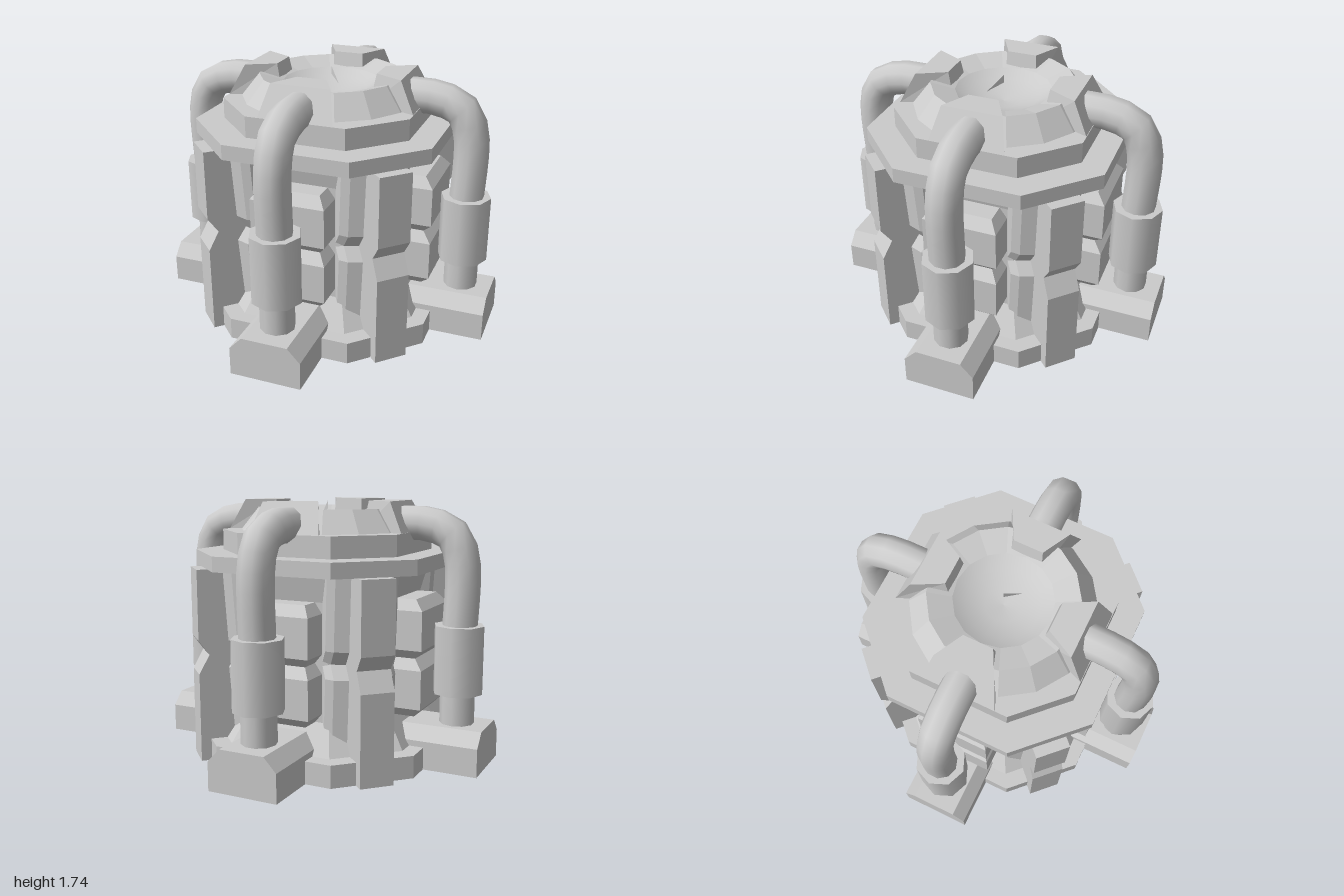
import * as THREE from 'three';

const flat = new THREE.MeshStandardMaterial({ color: 0xcccccc, flatShading: true });
const smooth = new THREE.MeshStandardMaterial({ color: 0xcccccc });
const thin = new THREE.MeshStandardMaterial({ color: 0xcccccc, side: THREE.DoubleSide });

// Skin a stack of equal-length convex loops and cap both ends, facing outward
function loft(loops) {
  const tris = [];
  const n = loops[0].length;
  for (let s = 0; s < loops.length - 1; s++) {
    for (let i = 0; i < n; i++) {
      const j = (i + 1) % n;
      const a = loops[s][i], b = loops[s][j], c = loops[s + 1][j], d = loops[s + 1][i];
      tris.push([a, b, c], [a, c, d]);
    }
  }
  const first = loops[0], last = loops[loops.length - 1];
  for (let i = 1; i < n - 1; i++) {
    tris.push([first[0], first[i + 1], first[i]], [last[0], last[i], last[i + 1]]);
  }
  // A negative enclosed volume means the corners run the wrong way round
  let volume = 0;
  for (const [a, b, c] of tris) {
    volume += a[0] * (b[1] * c[2] - b[2] * c[1])
      + a[1] * (b[2] * c[0] - b[0] * c[2])
      + a[2] * (b[0] * c[1] - b[1] * c[0]);
  }
  if (volume < 0) tris.forEach((t) => t.reverse());
  const geo = new THREE.BufferGeometry();
  geo.setAttribute('position', new THREE.Float32BufferAttribute(tris.flat(2), 3));
  geo.computeVertexNormals();
  return geo;
}

function add(parent, name, geo, material = flat) {
  const mesh = new THREE.Mesh(geo, material);
  mesh.name = name;
  parent.add(mesh);
  return mesh;
}

// Octagon at height y: a = distance to the square sides, b = half their width
const octagon = (a, b, y) => [
  [b, y, a], [a, y, b], [a, y, -b], [b, y, -a],
  [-b, y, -a], [-a, y, -b], [-a, y, b], [-b, y, a],
];

// Four-cornered loop at height y: half width and distance of its outer and inner side
const wedge = (y, wOut, zOut, wIn, zIn) => [
  [-wOut, y, zOut], [wOut, y, zOut], [wIn, y, zIn], [-wIn, y, zIn],
];

// Straight rib on each square side, pinched at mid height, with slanted pilasters beside it
function buildRib() {
  const rib = new THREE.Group();
  rib.name = 'rib';
  const face = [[0, 0.94], [0.6, 0.94], [0.73, 0.87], [0.83, 0.94], [1.3, 0.94]];
  add(rib, 'ribFace', loft(face.map(([y, z]) => wedge(y, 0.112, z, 0.112, 0.5))));
  const pilaster = [[0.1, 0.7], [0.64, 0.74], [0.73, 0.68], [0.82, 0.74], [1.3, 0.77]];
  add(rib, 'ribPilaster', loft(pilaster.map(([y, z]) => [
    [-0.11, y, z], [0.11, y, z], [0.2, y, z - 0.04], [0.24, y, z - 0.09],
    [0.24, y, 0.45], [-0.24, y, 0.45], [-0.24, y, z - 0.09], [-0.2, y, z - 0.04],
  ])));
  return rib;
}

// Foot, pipe, wall blocks and top wedge of one corner; +z points outward
function buildCorner() {
  const corner = new THREE.Group();
  corner.name = 'corner';

  const footOutline = [[-0.24, 0], [0.24, 0], [0.24, 0.19], [0.155, 0.28], [-0.155, 0.28], [-0.24, 0.19]];
  add(corner, 'foot', loft([0.6, 1.174].map((z) => footOutline.map(([x, y]) => [x, y, z]))));

  const path = new THREE.CatmullRomCurve3([
    [0.25, 0.96], [0.8, 0.96], [1.38, 0.965], [1.53, 0.895], [1.592, 0.73], [1.595, 0.48],
  ].map(([y, z]) => new THREE.Vector3(0, y, z)), false, 'centripetal');
  add(corner, 'pipe', new THREE.TubeGeometry(path, 16, 0.115, 10), smooth);
  const pipeEnd = add(corner, 'pipeEnd', new THREE.CircleGeometry(0.115, 10), thin);
  pipeEnd.position.set(0, 1.595, 0.48);

  const sleeve = add(corner, 'pipeSleeve', new THREE.CylinderGeometry(0.168, 0.168, 0.455, 8), smooth);
  sleeve.position.set(0, 0.7125, 0.96);
  sleeve.rotation.y = Math.PI / 4;

  // Two chamfered wall blocks stacked behind the pipe
  for (const y of [0.34, 0.73]) {
    const levels = [[0, 0.73, 0.2], [0.06, 0.79, 0.25], [0.32, 0.79, 0.25], [0.39, 0.73, 0.2]];
    add(corner, 'wallBlock', loft(levels.map(([dy, z, w]) => wedge(y + dy, w, z, w, 0.45))));
  }

  // Wedge gripping the rim of the dish
  add(corner, 'rimWedge', loft([
    wedge(1.54, 0.25, 0.64, 0.115, 0.31),
    wedge(1.74, 0.2, 0.54, 0.1, 0.35),
  ]));
  return corner;
}

export function createModel() {
  const model = new THREE.Group();
  model.name = 'reactorTank';

  // Stacked octagonal body
  add(model, 'base', loft([octagon(0.87, 0.28, 0), octagon(0.87, 0.28, 0.15)]));
  add(model, 'core', loft([
    octagon(0.76, 0.25, 0.15), octagon(0.63, 0.21, 0.34),
    octagon(0.63, 0.21, 1.12), octagon(0.68, 0.22, 1.3),
  ]));
  add(model, 'collar', loft([octagon(0.87, 0.28, 1.3), octagon(0.87, 0.28, 1.4)]));
  add(model, 'upperTier', loft([octagon(0.69, 0.22, 1.4), octagon(0.69, 0.22, 1.54)]));

  // Faceted rim and smooth bowl of the dish
  const profile = (pts) => pts.map(([r, y]) => new THREE.Vector2(r, y));
  add(model, 'dishRim', new THREE.LatheGeometry(profile([[0.6, 1.54], [0.48, 1.69], [0.32, 1.64]]), 16));
  add(model, 'dishBowl', new THREE.LatheGeometry(
    profile([[0.32, 1.64], [0.24, 1.595], [0.12, 1.56], [0.001, 1.55]]), 16), smooth);

  // Small fin over the middle of the bowl
  const fin = new THREE.BufferGeometry();
  fin.setAttribute('position', new THREE.Float32BufferAttribute(
    [0, 1.64, 0.12, 0, 1.735, 0, 0, 1.68, 0], 3));
  fin.computeVertexNormals();
  add(model, 'dishFin', fin, thin);

  for (let k = 0; k < 4; k++) {
    const rib = buildRib();
    rib.rotation.y = k * Math.PI / 2;
    const corner = buildCorner();
    corner.rotation.y = (k + 0.5) * Math.PI / 2;
    model.add(rib, corner);
  }
  return model;
}
